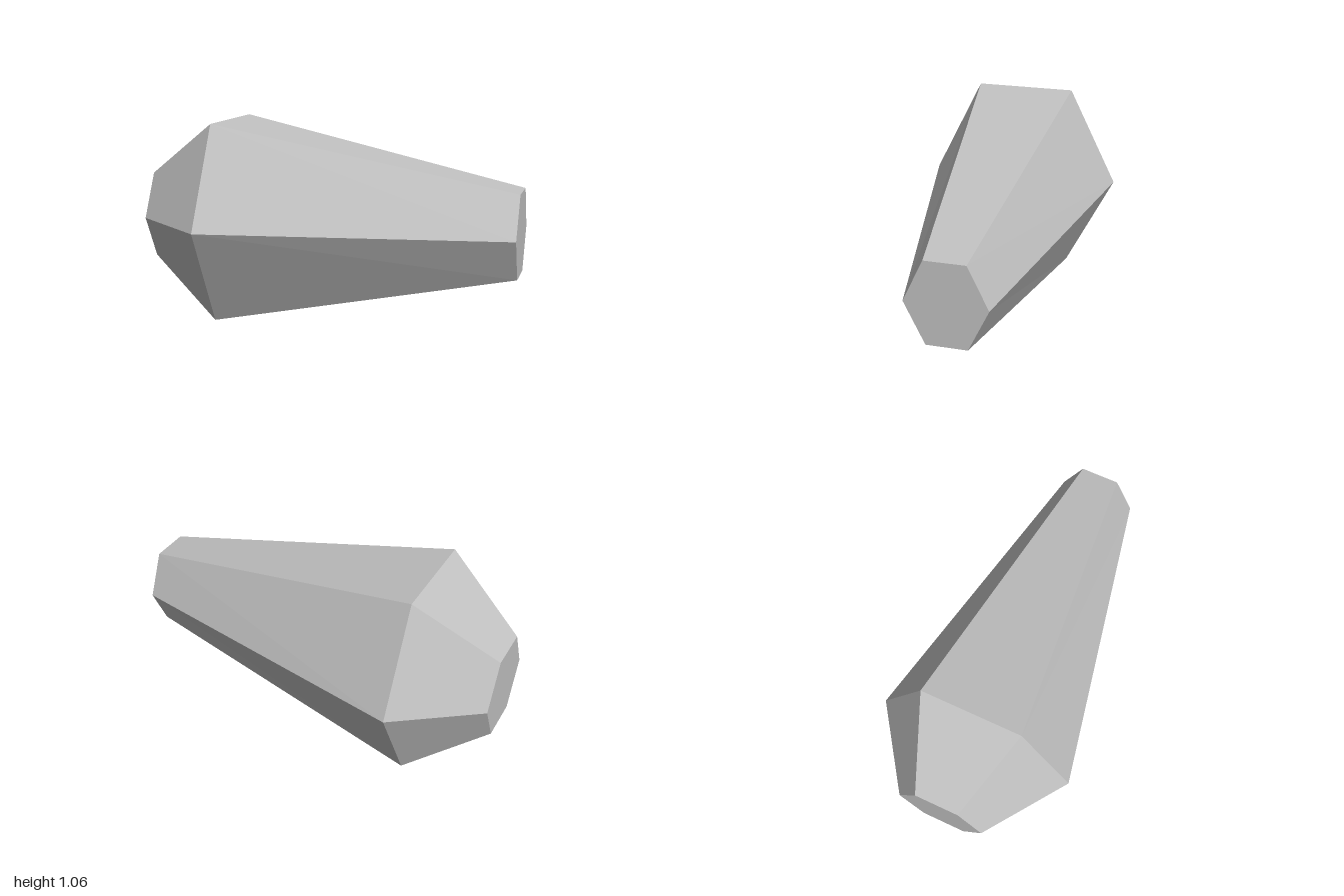
import * as THREE from 'three';

// Hexagonal cross-sections along x: position, half height, half depth
const SECTIONS = [
  { x: -1, h: 0.232, d: 0.23 },
  { x: -0.585, h: 0.53, d: 0.525 },
  { x: 1, h: 0.218, d: 0.203 },
];
const SIDES = 6;
const CENTRE_Y = 0.53;

// Hexagon with flat top and bottom, and points facing front and back
function ring({ x, h, d }) {
  return Array.from({ length: SIDES }, (_, k) => {
    const a = Math.PI / 6 + (k * Math.PI * 2) / SIDES;
    return [x, CENTRE_Y + (h * Math.cos(a)) / Math.cos(Math.PI / 6), d * Math.sin(a)];
  });
}

function loft(sections) {
  const rings = sections.map(ring);
  const points = [];
  // Sloping facets between neighbouring sections
  for (let i = 0; i < rings.length - 1; i++) {
    const p = rings[i], q = rings[i + 1];
    for (let k = 0; k < SIDES; k++) {
      const n = (k + 1) % SIDES;
      points.push(p[k], p[n], q[n], p[k], q[n], q[k]);
    }
  }
  // Flat end caps
  const first = rings[0], last = rings[rings.length - 1];
  for (let k = 1; k < SIDES - 1; k++) {
    points.push(first[0], first[k + 1], first[k]);
    points.push(last[0], last[k], last[k + 1]);
  }
  const geometry = new THREE.BufferGeometry();
  geometry.setAttribute('position', new THREE.Float32BufferAttribute(points.flat(), 3));
  geometry.computeVertexNormals();
  return geometry;
}

export function createModel() {
  const group = new THREE.Group();
  group.name = 'facetedCrystal';
  const grey = new THREE.MeshStandardMaterial({ color: 0xc0c0c0 });
  grey.name = 'light grey';
  const body = new THREE.Mesh(loft(SECTIONS), grey);
  body.name = 'crystalBody';
  group.add(body);
  return group;
}
